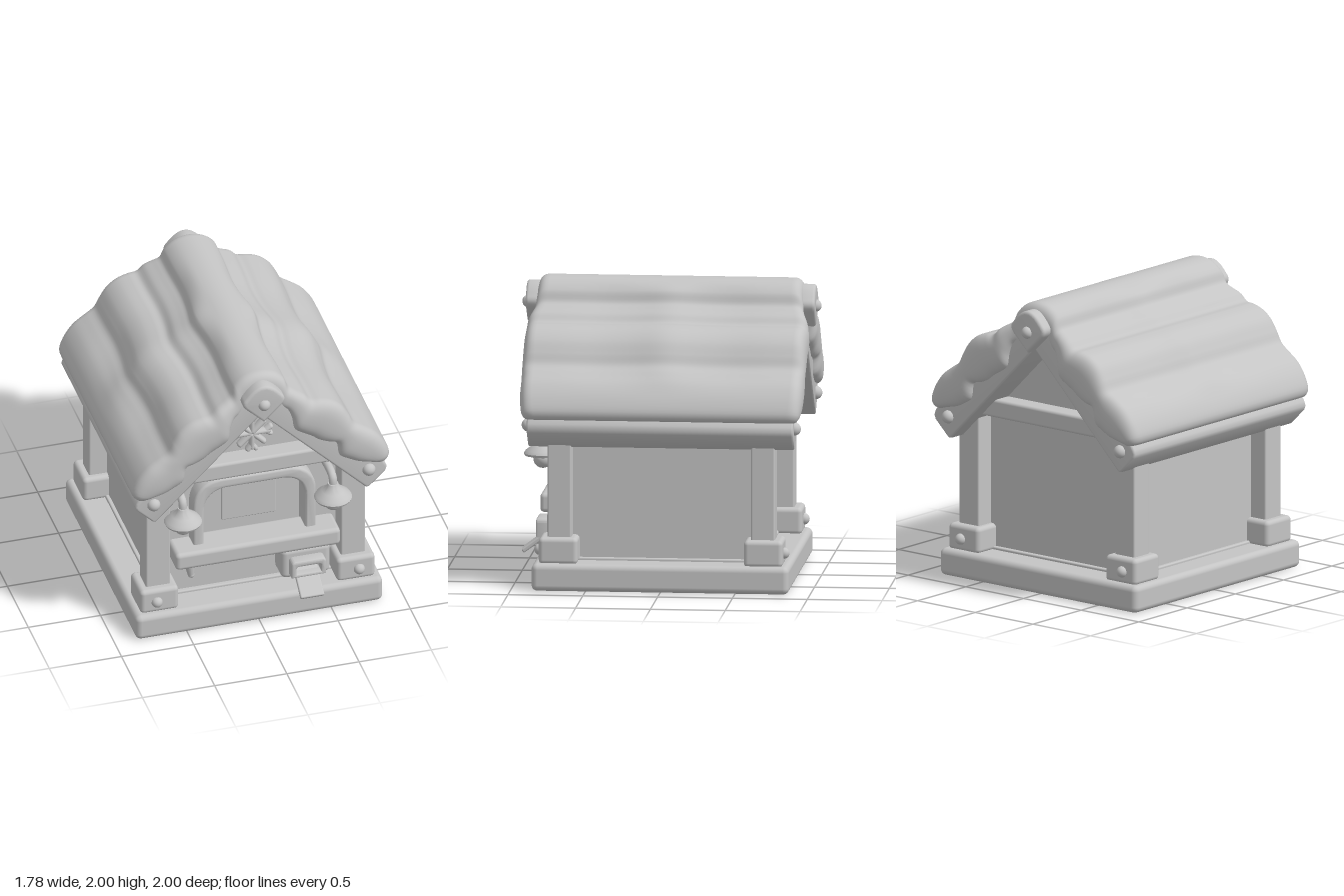
import * as THREE from 'three';
import { toCreasedNormals } from 'three/addons/utils/BufferGeometryUtils.js';
import { RoundedBoxGeometry } from 'three/addons/geometries/RoundedBoxGeometry.js';
import { ParametricGeometry } from 'three/addons/geometries/ParametricGeometry.js';

const grey = new THREE.MeshStandardMaterial({ color: 0xc4c4c4 });
grey.name = 'plain grey';

export function createModel() {
  const model = new THREE.Group();
  model.name = 'marketStall';

  const add = (name, geo, x = 0, y = 0, z = 0, parent = model) => {
    const m = new THREE.Mesh(geo, grey);
    m.name = name;
    m.position.set(x, y, z);
    parent.add(m);
    return m;
  };
  // rounded box given by its min and max on each axis
  const box = (name, [x0, x1], [y0, y1], [z0, z1], r = 0.02) =>
    add(name, new RoundedBoxGeometry(x1 - x0, y1 - y0, z1 - z0, 3, r),
      (x0 + x1) / 2, (y0 + y1) / 2, (z0 + z1) / 2);
  // shape extruded between z0 and z1, bevel kept inside the outline
  const slab = (shape, z0, z1, bevel = 0.02) => {
    const g = new THREE.ExtrudeGeometry(shape, {
      depth: z1 - z0 - 2 * bevel, curveSegments: 10, bevelEnabled: bevel > 0,
      bevelSize: bevel, bevelOffset: -bevel, bevelThickness: bevel, bevelSegments: 3,
    });
    return g.translate(0, 0, z0 + bevel);
  };
  const poly = pts => new THREE.Shape(pts.map(p => new THREE.Vector2(...p)));
  const knob = (x, y, z, r = 0.038) => add('knob', new THREE.SphereGeometry(r, 20, 14), x, y, z);

  // base and floor
  box('base', [-0.855, 0.855], [0, 0.185], [-0.86, 0.86], 0.04);
  box('floor', [-0.66, 0.66], [0.17, 0.203], [-0.66, 0.66], 0.01);

  // corner posts, feet and knobs
  for (const sx of [-1, 1]) for (const sz of [-1, 1]) {
    add('post', new RoundedBoxGeometry(0.17, 0.96, 0.16, 2, 0.012), sx * 0.675, 0.65, sz * 0.68);
    add('postFoot', new RoundedBoxGeometry(0.265, 0.18, 0.26, 3, 0.03), sx * 0.68, 0.265, sz * 0.685);
    knob(sx * 0.7, 0.26, sz * 0.815);
    knob(sx * 0.745, 1.105, sz * 0.888, 0.045);
  }

  // rounded arch outline
  const arch = (path, w, y0, y1, r) => {
    path.moveTo(-w, y0);
    path.lineTo(w, y0);
    path.lineTo(w, y1 - r);
    path.bezierCurveTo(w, y1 - r * 0.4, w - r * 0.4, y1, w - r, y1);
    path.lineTo(-w + r, y1);
    path.bezierCurveTo(-w + r * 0.4, y1, -w, y1 - r * 0.4, -w, y1 - r);
    path.closePath();
    return path;
  };

  // walls set back between the posts, with a recess behind the window
  const wall = () => poly([[-0.63, 0.17], [0.63, 0.17], [0.63, 1.1], [0, 1.74], [-0.63, 1.1]]);
  const frontShape = wall();
  frontShape.holes.push(arch(new THREE.Path(), 0.36, 0.56, 1.045, 0.16));
  add('frontWall', slab(frontShape, 0.53, 0.63, 0));
  box('recessBack', [-0.45, 0.45], [0.5, 1.1], [0.5, 0.55], 0.01);
  box('recessPanel', [-0.18, 0.2], [0.65, 1.01], [0.53, 0.56], 0.008);
  add('backWall', slab(wall(), -0.63, -0.58, 0));
  for (const s of [-1, 1])
    add('sideWall', new THREE.BoxGeometry(0.05, 0.93, 1.24), s * 0.61, 0.635, 0);

  // cross beams under the gables
  for (const s of [-1, 1])
    add('crossBeam', new RoundedBoxGeometry(1.3, 0.125, 0.16, 3, 0.02), 0, 1.182, s * 0.68);

  // window frame
  const frame = arch(new THREE.Shape(), 0.425, 0.52, 1.11, 0.2);
  frame.holes.push(arch(new THREE.Path(), 0.35, 0.57, 1.035, 0.16));
  add('windowFrame', toCreasedNormals(slab(frame, 0.58, 0.74, 0.018), 0.7));

  // counter and hook below it
  box('counter', [-0.57, 0.57], [0.485, 0.615], [0.59, 0.828], 0.03);
  const hook = add('hook', new THREE.CylinderGeometry(0.04, 0.022, 0.12, 14), -0.445, 0.43, 0.72);
  hook.rotation.z = 0.12;
  add('hookTip', new THREE.SphereGeometry(0.023, 14, 10), -0.437, 0.37, 0.72);

  // delivery box with chute
  box('deliveryBox', [0.17, 0.51], [0.25, 0.485], [0.6, 0.79], 0.04);
  const hatch = arch(new THREE.Shape(), 0.12, 0.3, 0.425, 0.03);
  hatch.holes.push(arch(new THREE.Path(), 0.085, 0.325, 0.385, 0.02));
  add('hatchFrame', toCreasedNormals(slab(hatch, 0.77, 0.865, 0.012), 0.7), 0.34, 0, 0);
  const chute = add('chute', new RoundedBoxGeometry(0.165, 0.03, 0.26, 2, 0.01), 0.335, 0.274, 0.855);
  chute.rotation.x = 0.64;

  // lamps
  const shade = [[0, 0.985], [0.035, 0.985], [0.045, 0.96], [0.075, 0.93], [0.115, 0.9], [0.127, 0.88],
    [0.12, 0.865], [0.07, 0.855], [0, 0.855]].reverse().map(p => new THREE.Vector2(...p));
  for (const s of [-1, 1]) {
    const lamp = new THREE.Group();
    lamp.name = 'lamp';
    lamp.position.set(s * 0.52, 0, 0.812);
    model.add(lamp);
    const arm = new THREE.CatmullRomCurve3([[-0.2, 1.04], [-0.06, 1.042], [-0.012, 1.025], [0, 0.96]]
      .map(([z, y]) => new THREE.Vector3(0, y, z)));
    add('lampArm', new THREE.TubeGeometry(arm, 20, 0.028, 14), 0, 0, 0, lamp);
    add('lampShade', toCreasedNormals(new THREE.LatheGeometry(shade, 32), 0.8), 0, 0, 0, lamp);
    add('bulb', new THREE.SphereGeometry(0.065, 24, 16), 0, 0.845, 0, lamp);
  }

  // snowflake ornament: eight plump arms, every other one forked
  const flake = new THREE.Group();
  flake.name = 'snowflake';
  flake.position.set(0, 1.395, 0.655);
  flake.scale.z = 1.6;
  model.add(flake);
  for (let i = 0; i < 8; i++) {
    const arm = new THREE.Group();
    arm.name = 'flakeArm';
    arm.rotation.z = i * Math.PI / 4;
    flake.add(arm);
    add('flakeSpoke', new THREE.CapsuleGeometry(0.02, 0.1, 4, 12), 0, 0.065, 0, arm);
    if (i % 2 === 0) for (const s of [-1, 1]) {
      const twig = add('flakeTwig', new THREE.CapsuleGeometry(0.018, 0.035, 4, 12), s * 0.016, 0.115, 0, arm);
      twig.rotation.z = -s * 0.6;
    }
  }

  // pitched roof
  const eave = [[0.725, 0.962], [0.748, 0.962], [0.86, 1.07], [0.872, 1.1], [0.862, 1.13], [0.84, 1.165], [0.1, 1.87]];
  const roof = poly([[0, 1.688], ...eave, [0, 1.93], ...eave.map(([x, y]) => [-x, y]).reverse()]);
  add('roof', toCreasedNormals(slab(roof, -0.89, 0.89, 0.014), 0.9));

  // ridge end caps
  const cap = new THREE.Shape();
  cap.moveTo(0, 1.675);
  cap.lineTo(0.12, 1.79);
  cap.quadraticCurveTo(0.165, 1.835, 0.125, 1.875);
  cap.quadraticCurveTo(0.06, 1.96, 0, 1.96);
  cap.quadraticCurveTo(-0.06, 1.96, -0.125, 1.875);
  cap.quadraticCurveTo(-0.165, 1.835, -0.12, 1.79);
  cap.closePath();
  for (const s of [-1, 1]) {
    const [z0, z1] = s > 0 ? [0.8, 0.966] : [-0.966, -0.8];
    add('ridgeCap', toCreasedNormals(slab(cap, z0, z1, 0.02), 0.6));
    knob(0, 1.815, s * 0.958, 0.042);
  }

  // snow blanket: lobed top line and dripping lower line, joined by rounded ends
  const mirrored = half => new THREE.CatmullRomCurve3(
    [...half.slice(1).map(([x, y]) => [-x, y]).reverse(), ...half].map(([x, y]) => new THREE.Vector3(x, y, 0)));
  const top = mirrored([[0, 2], [0.1, 1.978], [0.17, 1.92], [0.2, 1.848], [0.24, 1.82], [0.3, 1.785], [0.35, 1.738],
    [0.41, 1.73], [0.49, 1.705], [0.56, 1.65], [0.61, 1.57], [0.645, 1.5], [0.71, 1.455], [0.79, 1.395],
    [0.86, 1.3], [0.89, 1.21], [0.87, 1.165], [0.8, 1.15]]);
  const drip = mirrored([[0, 1.8], [0.06, 1.77], [0.1, 1.73], [0.14, 1.7], [0.18, 1.68], [0.21, 1.62], [0.23, 1.53],
    [0.28, 1.49], [0.34, 1.455], [0.4, 1.41], [0.46, 1.385], [0.515, 1.37], [0.54, 1.26], [0.6, 1.22],
    [0.66, 1.19], [0.74, 1.17], [0.775, 1.16], [0.79, 1.152]]);
  const { smoothstep } = THREE.MathUtils;
  const upper = new THREE.Vector3();
  const snow = new ParametricGeometry((u, v, out) => {
    top.getPoint(u, upper);
    drip.getPoint(u, out);
    const end = Math.min(v, 1 - v) / 0.25;
    const side = v < 0.5 ? 1 : -1;
    let z = 0.86 * (0.5 - v) / 0.25;
    if (end < 1) {
      const c = Math.cos(end * Math.PI);
      out.lerp(upper, 0.5 - 0.5 * Math.sign(c) * Math.abs(c) ** 0.8);
      z = side * (0.86 + 0.085 * Math.max(0, Math.sin(end * Math.PI)) ** 0.8);
    } else out.copy(upper);
    const ax = Math.abs(upper.x);
    const ridge = 1 - smoothstep(ax, 0.14, 0.36);
    const slope = smoothstep(ax, 0.08, 0.2) * (1 - smoothstep(ax, 0.65, 0.85));
    const swell = Math.exp(-((z / 0.16) ** 2)) - 0.5 * Math.exp(-(((Math.abs(z) - 0.42) / 0.2) ** 2));
    const corner = Math.max(0, (Math.abs(2 * u - 1) - 0.76) / 0.24) ** 2;
    out.x += Math.sign(upper.x) * 0.025 * slope * swell;
    out.y += 0.01 * slope * swell;
    out.z = z * (1 - 0.06 * ridge - 0.07 * corner);
  }, 140, 72);
  add('snow', snow);

  return model;
}
